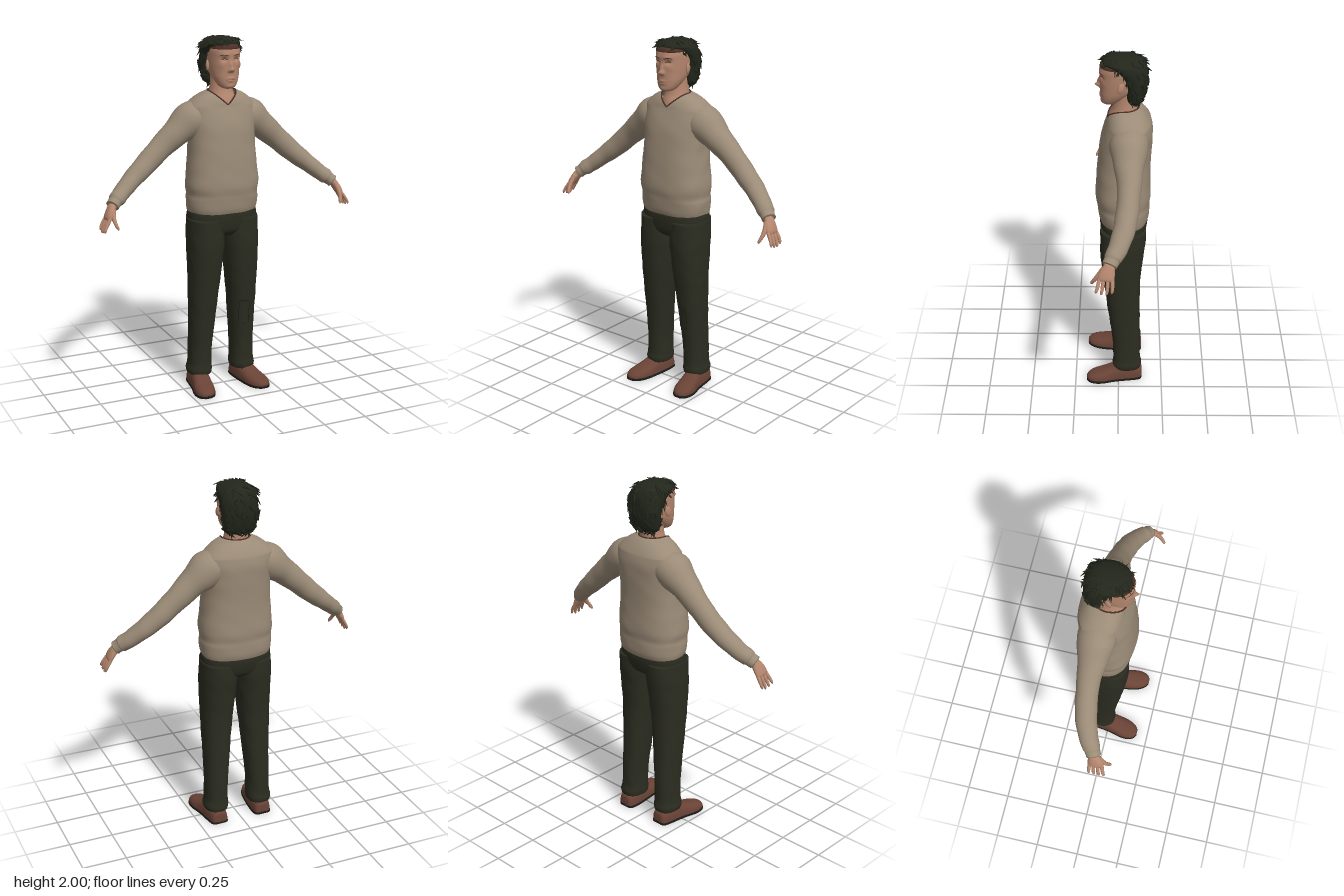
import * as THREE from 'three';
import { mergeGeometries } from 'three/addons/utils/BufferGeometryUtils.js';

const V = (x, y, z) => new THREE.Vector3(x, y, z);
const mat = (name, color) => Object.assign(new THREE.MeshStandardMaterial({ color }), { name });
const spow = (v, e) => Math.sign(v) * Math.abs(v) ** e;
const TAU = Math.PI * 2;

// Smoothly resample a table of cross-section rows (Catmull-Rom per column)
function resample(rows, count) {
  const at = i => rows[Math.min(rows.length - 1, Math.max(0, i))];
  return Array.from({ length: count + 1 }, (_, k) => {
    const f = k / count * (rows.length - 1), i = Math.min(Math.floor(f), rows.length - 2), t = f - i;
    return rows[0].map((_, c) => {
      const [a, b, d, e] = [at(i - 1)[c], at(i)[c], at(i + 1)[c], at(i + 2)[c]];
      return b + 0.5 * t * (d - a + t * (2 * a - 5 * b + 4 * d - e + t * (3 * (b - d) + e - a)));
    });
  });
}

// Skin a list of rings; ends are closed unless told otherwise
function loft(rings, capStart = true, capEnd = true) {
  const n = rings[0].length, pos = [], idx = [];
  rings.forEach(r => r.forEach(p => pos.push(p.x, p.y, p.z)));
  for (let i = 0; i < rings.length - 1; i++) for (let j = 0; j < n; j++) {
    const a = i * n + j, b = i * n + (j + 1) % n;
    idx.push(a, b, b + n, a, b + n, a + n);
  }
  const cap = (k, flip) => {
    const c = pos.length / 3, m = V(0, 0, 0);
    rings[k].forEach(p => m.addScaledVector(p, 1 / n));
    pos.push(m.x, m.y, m.z);
    for (let j = 0; j < n; j++) {
      const a = k * n + j, b = k * n + (j + 1) % n;
      idx.push(c, flip ? b : a, flip ? a : b);
    }
  };
  if (capStart) cap(0, true);
  if (capEnd) cap(rings.length - 1, false);
  const g = new THREE.BufferGeometry();
  g.setAttribute('position', new THREE.Float32BufferAttribute(pos, 3));
  g.setIndex(idx);
  g.computeVertexNormals();
  return g;
}

// Horizontal rings from rows [y, xMin, xMax, zFront, zBack]
function bodyRings(rows, count, power = 2.3, fold = 0, n = 48) {
  return resample(rows, count).map(([y, x0, x1, zf, zb]) => Array.from({ length: n }, (_, j) => {
    const a = j / n * TAU, w = 1 + fold * Math.sin(y * 46 + 3 * Math.sin(a * 2)) * Math.sin(a * 3 + y * 9);
    return V((x0 + x1) / 2 + (x1 - x0) / 2 * w * spow(Math.sin(a), 2 / power), y,
      (zf + zb) / 2 + (zf - zb) / 2 * w * spow(Math.cos(a), 2 / power));
  }));
}
const sym = rows => rows.map(([y, w, f, b]) => [y, -w, w, f, b]);

// Limb along a path, rows [x, y, z, thickness, breadth]
function limb(rows, count, n = 20, fold = 0) {
  const s = resample(rows, count);
  return loft(s.map(([x, y, z, ru, rv], i) => {
    const p = s[Math.max(0, i - 1)], q = s[Math.min(count, i + 1)];
    const t = V(q[0] - p[0], q[1] - p[1], q[2] - p[2]).normalize();
    const u = V(-t.y, t.x, 0).normalize(), v = t.clone().cross(u);
    return Array.from({ length: n }, (_, j) => {
      const a = j / n * TAU, w = 1 + fold * Math.sin(i * 1.3 + 2 * Math.sin(a));
      return V(x, y, z).addScaledVector(u, ru * w * Math.cos(a)).addScaledVector(v, rv * w * Math.sin(a));
    });
  }));
}

function mirrored(geo) {
  const g = geo.clone().scale(-1, 1, 1), k = g.index.array;
  for (let i = 0; i < k.length; i += 3) [k[i], k[i + 1]] = [k[i + 1], k[i]];
  g.computeVertexNormals();
  return g;
}

export function createModel() {
  const model = new THREE.Group();
  const wool = mat('beige wool', 0x9b8b77), cloth = mat('dark olive cloth', 0x2b2c20);
  const skin = mat('skin', 0xb5876f), hairMat = mat('dark hair', 0x22261b);
  const leather = mat('brown leather', 0x6a4336), rubber = mat('dark sole', 0x1b1b18);
  const trim = mat('dark brown trim', 0x4c3026), lipMat = mat('lips', 0x9d6b5a);
  wool.side = THREE.DoubleSide;
  const add = (name, geo, m) => {
    const mesh = new THREE.Mesh(geo, m);
    mesh.name = name;
    model.add(mesh);
    return mesh;
  };
  const pair = (name, geo, m) => { add('left ' + name, geo, m); add('right ' + name, mirrored(geo), m); };

  // Sweater body, blended into a V-shaped neckline
  const torso = bodyRings(sym([[1.03, .193, .1, -.16], [1.06, .2, .11, -.168], [1.11, .203, .117, -.17],
    [1.14, .2, .12, -.17], [1.19, .206, .126, -.176], [1.28, .198, .122, -.172], [1.4, .188, .112, -.174],
    [1.5, .19, .1, -.18], [1.57, .198, .082, -.182], [1.625, .196, .064, -.172]]), 40, 2.4, .008);
  const neckline = a => V(.077 * Math.sin(a), Math.cos(a) > 0 ? 1.632 + .07 * Math.abs(Math.sin(a)) : 1.702,
    -.025 + (Math.cos(a) > 0 ? .084 : .082) * Math.cos(a));
  const shoulder = torso[torso.length - 1];
  for (let k = 1; k <= 6; k++) torso.push(shoulder.map((p, j) => {
    const q = p.clone().lerp(neckline(j / 48 * TAU), k / 6);
    q.y += .012 * Math.sin(k / 6 * Math.PI) * Math.min(1, 1.4 - Math.cos(j / 48 * TAU));
    return q;
  }));
  add('sweater body', loft(torso, true, false), wool);
  const edge = Array.from({ length: 48 }, (_, j) => neckline(j / 48 * TAU));
  add('collar edge', new THREE.TubeGeometry(new THREE.CatmullRomCurve3(edge, true), 96, .004, 6, true), trim);

  // Sleeves
  pair('sleeve', limb([[.08, 1.6, -.06, .06, .075], [.165, 1.55, -.055, .1, .103], [.26, 1.48, -.055, .076, .08],
    [.36, 1.395, -.056, .064, .062], [.45, 1.315, -.046, .058, .06], [.53, 1.25, -.028, .05, .057],
    [.6, 1.192, .002, .044, .051], [.635, 1.165, .024, .043, .047], [.645, 1.157, .03, .036, .042],
    [.667, 1.138, .042, .035, .04]], 40, 24, .018), wool);

  // Hands
  const fingers = [-1.5, -.5, .5, 1.5].map(k => {
    const s = Math.abs(k + .2) * .009;
    return limb([[.695, 1.085, .06 + k * .021, .009, .011], [.713, 1.057, .063 + k * .024, .0095, .01],
      [.726, 1.028 + s * .5, .066 + k * .026, .008, .009], [.731, 1.007 + s, .07 + k * .027, .007, .007],
      [.732, .998 + s, .071 + k * .027, .002, .002]], 10, 10);
  });
  pair('hand', mergeGeometries([
    limb([[.65, 1.155, .033, .022, .028], [.668, 1.135, .043, .022, .03], [.685, 1.108, .053, .02, .04],
      [.7, 1.08, .06, .016, .043], [.706, 1.068, .062, .008, .035]], 14, 18),
    limb([[.672, 1.125, .07, .014, .016], [.68, 1.092, .095, .013, .014], [.678, 1.062, .117, .01, .011],
      [.67, 1.038, .132, .008, .009], [.666, 1.027, .138, .002, .002]], 12, 10),
    ...fingers]), skin);

  // Trousers
  add('trouser seat', loft(bodyRings(sym([[.9, .13, .06, -.1], [.93, .19, .09, -.138], [.98, .198, .101, -.155],
    [1.03, .197, .103, -.16], [1.06, .185, .09, -.145]]), 14, 2.4)), cloth);
  const leg = loft(bodyRings([[.075, .068, .2, .03, -.128], [.1, .064, .204, .035, -.132], [.14, .066, .197, .03, -.125],
    [.25, .064, .193, .034, -.125], [.4, .05, .194, .05, -.12], [.52, .04, .197, .066, -.12],
    [.66, .025, .2, .083, -.122], [.8, .01, .203, .098, -.135], [.9, .001, .203, .102, -.148],
    [1, .0, .198, .1, -.152]], 48, 2.35, .012));
  pair('trouser leg', leg, cloth);

  // Snap a point onto the front of a mesh
  const ray = new THREE.Raycaster();
  const snap = (mesh, x, y, lift = .001) => {
    ray.set(V(x, y, 1), V(0, 0, -1));
    const hit = ray.intersectObject(mesh)[0];
    return V(x, y, (hit ? hit.point.z : .08) + lift);
  };
  const strand = (pts, r, closed = false) =>
    new THREE.TubeGeometry(new THREE.CatmullRomCurve3(pts, closed, 'catmullrom', .1), 32, r, 5, closed);

  // Outline of the knee patch
  const legMesh = model.getObjectByName('left trouser leg');
  add('knee patch seam', strand([[.077, .36], [.105, .36], [.134, .36], [.134, .43], [.134, .5], [.105, .505],
    [.077, .505], [.077, .43]].map(([x, y]) => snap(legMesh, x, y, 0)), .0018, true), rubber);

  // Shoes, rows [z, centre x, half width, height]
  const shoeRows = resample([[-.135, .135, .026, .06], [-.122, .135, .046, .08], [-.07, .138, .054, .098],
    [-.01, .144, .056, .1], [.04, .152, .058, .08], [.09, .162, .061, .062], [.135, .169, .055, .052],
    [.168, .173, .038, .04], [.184, .174, .014, .026]], 32);
  const shoe = (bottom, height, grow, power) => loft(shoeRows.map(([z, cx, hw, h]) =>
    Array.from({ length: 28 }, (_, j) => {
      const a = j / 28 * TAU, s = Math.max(0, Math.sin(a));
      return V(cx + (hw + grow) * spow(Math.cos(a), .75), bottom + (height || h - bottom) * s ** power, z);
    })));
  pair('shoe', shoe(.01, 0, 0, .75), leather);
  pair('shoe sole', shoe(0, .016, .003, .2), rubber);

  // Neck and head, with the features raised out of the face
  add('neck', loft(bodyRings(sym([[1.57, .1, .045, -.1], [1.63, .082, .054, -.1], [1.665, .074, .046, -.1],
    [1.7, .065, .032, -.1], [1.75, .06, .025, -.1], [1.81, .06, .025, -.1]]), 16, 2)), skin);
  const headRings = bodyRings(sym([[1.722, .022, .075, .03], [1.73, .04, .088, .01], [1.75, .056, .094, -.02],
    [1.78, .07, .096, -.06], [1.81, .078, .097, -.1], [1.85, .083, .098, -.12], [1.89, .085, .1, -.13],
    [1.925, .085, .1, -.125], [1.95, .08, .09, -.12], [1.973, .064, .066, -.1], [1.985, .035, .03, -.07]]), 64, 2.2, 0, 96);
  const bumps = [[0, 1.828, .011, .01, .026], [0, 1.85, .009, .018, .014], [.012, 1.822, .006, .007, .008],
    [.034, 1.882, .016, .011, -.012], [.034, 1.908, .024, .008, .004], [0, 1.781, .02, .005, .006],
    [0, 1.767, .018, .005, .006], [0, 1.737, .02, .01, .004], [.05, 1.85, .014, .014, .003]];
  headRings.flat().forEach(p => {
    if (p.z > 0) for (const [x, y, sx, sy, d] of bumps)
      p.z += d * Math.exp(-(((Math.abs(p.x) - x) / sx) ** 2) - ((p.y - y) / sy) ** 2);
  });
  const head = add('head', loft(headRings), skin);
  pair('ear', new THREE.SphereGeometry(1, 16, 12).scale(.009, .03, .018).rotateX(-.25).rotateY(.35)
    .translate(.09, 1.843, -.012), skin);
  for (const s of [1, -1]) {
    const side = s > 0 ? 'left ' : 'right ';
    add(side + 'eye line', strand([.018, .027, .036, .048].map((x, i) =>
      snap(head, s * x, 1.881 + [0, .004, .004, 0][i])), .0018), trim);
    add(side + 'eyebrow', strand([.016, .03, .044, .056].map((x, i) =>
      snap(head, s * x, 1.902 + [0, .004, .005, 0][i])), .002), trim);
  }
  add('mouth', strand([-.024, -.012, 0, .012, .024].map(x => snap(head, x, 1.774, 0)), .0025), lipMat);

  // Brown hairline band under the fringe
  add('hairline band', loft(bodyRings(sym([[1.936, .087, .099, -.12], [1.95, .084, .095, -.12],
    [1.968, .073, .078, -.11]]), 6, 2.2)), trim);

  // Hair mass and loose locks
  const hair = bodyRings(sym([[1.732, .05, -.06, -.105], [1.75, .084, -.04, -.128], [1.79, .096, -.032, -.144],
    [1.84, .101, -.03, -.153], [1.88, .102, -.012, -.154], [1.92, .102, .025, -.15], [1.945, .1, .065, -.142],
    [1.962, .094, .086, -.132], [1.98, .073, .07, -.112], [1.991, .042, .035, -.08], [1.994, .015, .0, -.045]]), 40, 2.2, .012);
  add('hair', loft(hair), hairMat);
  let seed = 7;
  const rnd = () => (seed = (seed * 16807) % 2147483647) / 2147483647;
  const locks = [], mid = V(0, 1.88, -.04);
  for (let k = 0; k < 170; k++) {
    const p = hair[Math.floor(rnd() * 38)][Math.floor(rnd() * 48)];
    const out = p.clone().sub(mid).normalize(), len = .03 + rnd() * .022;
    if (p.z > .02 && p.y < 1.95) continue;
    const swirl = V(rnd() - .5, -.7, -.3 * rnd()).addScaledVector(out, .1);
    swirl.addScaledVector(out, -swirl.dot(out) + .22).normalize();
    const g = new THREE.ConeGeometry(.01, len, 6).scale(1, 1, .6);
    g.applyQuaternion(new THREE.Quaternion().setFromUnitVectors(V(0, 1, 0), swirl));
    locks.push(g.translate(p.x + swirl.x * len * .3, Math.min(p.y + swirl.y * len * .3, 1.982), p.z + swirl.z * len * .3));
  }
  add('hair locks', mergeGeometries(locks), hairMat);
  return model;
}
